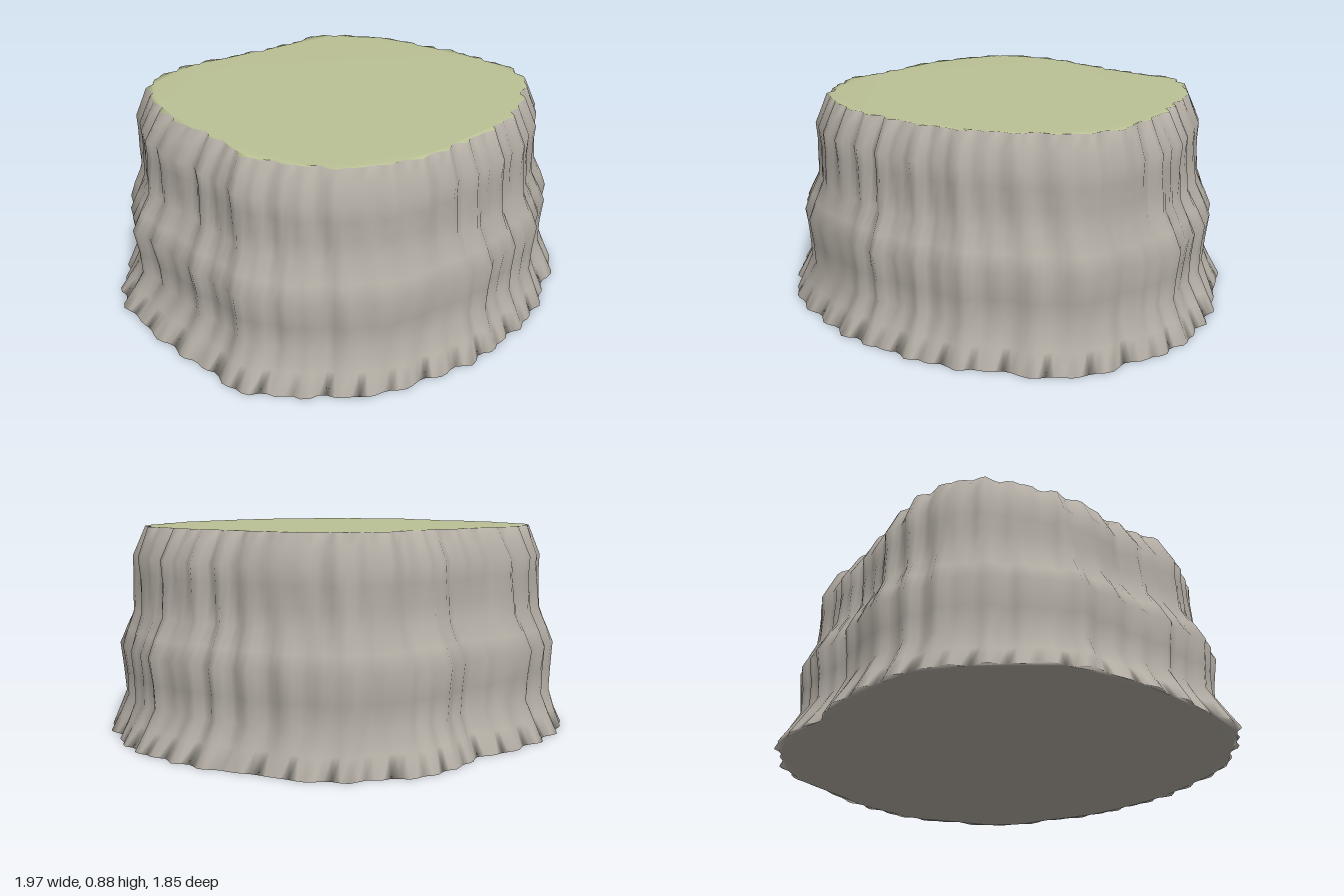
import * as THREE from 'three';

const SEG = 192;

// Outline radii every 15 degrees, from +x turning toward +z
const FOOT = [.98, .98, 1.0, .95, .92, .91, .91, .93, .96, .98, 1.0, .95,
  .96, 1.0, 1.0, .99, .96, .9, .87, .94, .96, .96, .93, .95];
const CROWN = [.77, .82, .82, .76, .75, .72, .73, .75, .78, .77, .77, .71,
  .71, .76, .8, .84, .77, .7, .66, .7, .78, .77, .75, .74];

// Cliff levels: [height, blend from foot outline to crown outline]
const LEVELS = [[0, 0], [.08, .22], [.16, .42], [.26, .4], [.37, .33], [.44, .48],
  [.52, .68], [.6, .7], [.68, .72], [.75, .7], [.82, .87], [.875, 1]];

// Smooth closed interpolation of an outline at angle a
function radiusAt(radii, a) {
  const n = radii.length, f = a / (Math.PI * 2) * n, i = Math.floor(f), t = f - i;
  const [p, q, r, s] = [-1, 0, 1, 2].map(k => radii[(i + k + n) % n]);
  return q + .5 * t * (r - p + t * (2 * p - 5 * q + 4 * r - s + t * (3 * (q - r) + s - p)));
}

// Vertical furrows that drift slightly with height
function furrow(a, y) {
  return .009 * Math.sin(47 * a + 2 * Math.sin(5 * a) + 1.5 * Math.sin(6 * y))
    + .008 * Math.sin(29 * a + 2.5 * Math.sin(3 * a + 1) - 2 * y)
    + .006 * Math.sin(13 * a + 4 * y);
}

export function createModel() {
  const group = new THREE.Group();
  const rock = new THREE.MeshStandardMaterial({ color: 0xb3ada4 });
  rock.name = 'grey rock';
  const grass = new THREE.MeshStandardMaterial({ color: 0xbac094 });
  grass.name = 'pale grass';

  // Rings of points stacked from foot to crown
  const positions = [];
  const rings = LEVELS.map(([y, blend]) => {
    const ring = [];
    for (let i = 0; i < SEG; i++) {
      const a = i / SEG * Math.PI * 2;
      const r = THREE.MathUtils.lerp(radiusAt(FOOT, a), radiusAt(CROWN, a), blend) + furrow(a, y);
      const p = new THREE.Vector2(r * Math.cos(a), r * Math.sin(a));
      ring.push(p);
      positions.push(p.x, y, p.y);
    }
    return ring;
  });

  const wall = [];
  for (let j = 0; j < LEVELS.length - 1; j++) {
    for (let i = 0; i < SEG; i++) {
      const a = j * SEG + i, b = j * SEG + (i + 1) % SEG;
      wall.push(a, a + SEG, b, b, a + SEG, b + SEG);
    }
  }

  // Flat faces closing the bottom and the top
  const last = LEVELS.length - 1;
  const bottom = THREE.ShapeUtils.triangulateShape(rings[0], []).flat();
  const top = THREE.ShapeUtils.triangulateShape(rings[last], [])
    .flatMap(([a, b, c]) => [a, c, b].map(k => k + last * SEG));

  // Shared normals keep the rims softly shaded
  const whole = new THREE.BufferGeometry();
  whole.setAttribute('position', new THREE.Float32BufferAttribute(positions, 3));
  whole.setIndex([...wall, ...bottom, ...top]);
  whole.computeVertexNormals();

  const addPart = (name, index, material) => {
    const geometry = new THREE.BufferGeometry();
    geometry.setAttribute('position', whole.attributes.position);
    geometry.setAttribute('normal', whole.attributes.normal);
    geometry.setIndex(index);
    const mesh = new THREE.Mesh(geometry, material);
    mesh.name = name;
    group.add(mesh);
  };
  addPart('cliffWall', wall, rock);
  addPart('underside', bottom, rock);
  addPart('grassTop', top, grass);

  group.name = 'plateauRock';
  return group;
}
